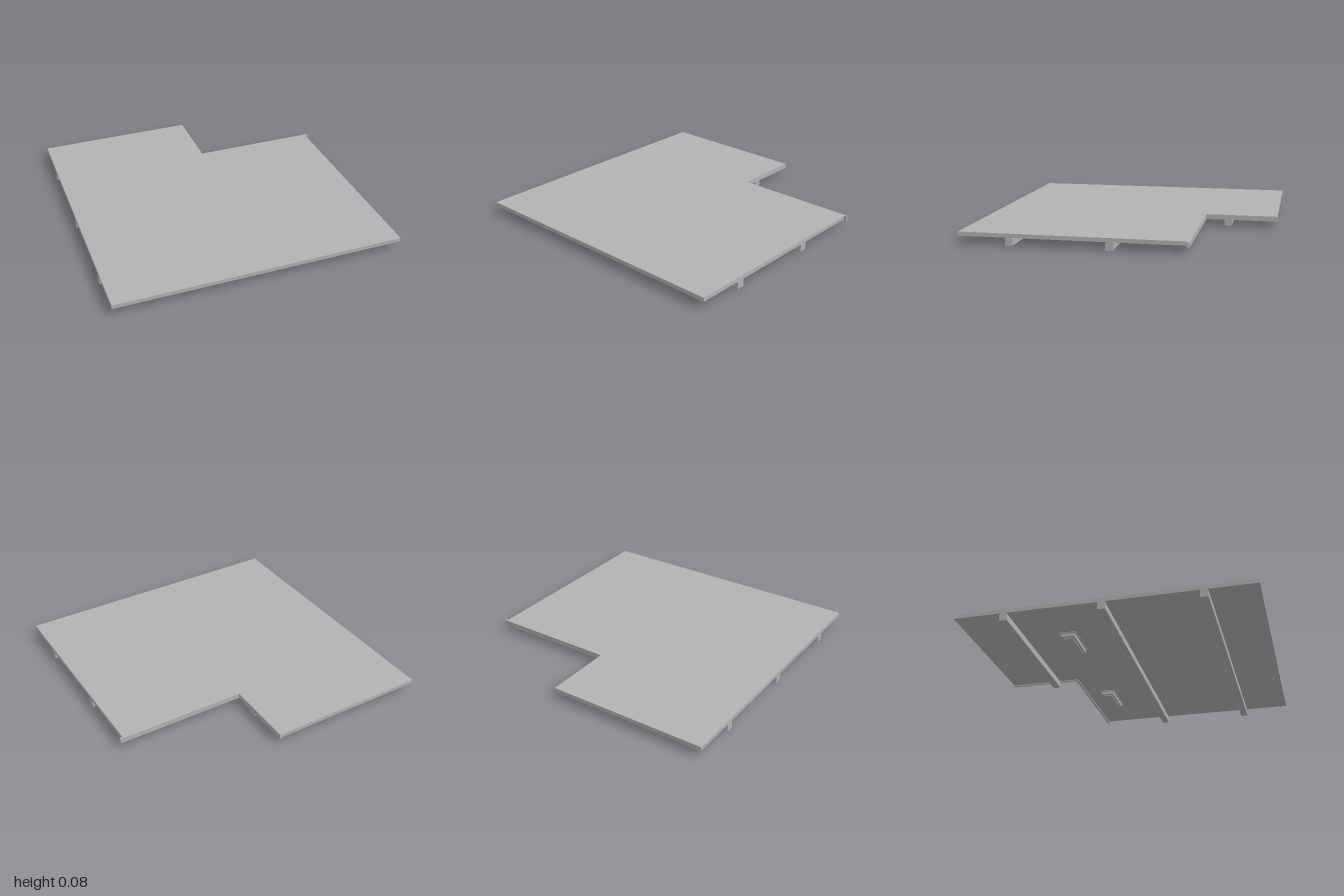
import * as THREE from 'three';

export function createModel() {
  const model = new THREE.Group();
  const grey = new THREE.MeshStandardMaterial({ color: 0xb2b2b2 });
  grey.name = 'light grey';

  function add(name, geometry) {
    const mesh = new THREE.Mesh(geometry, grey);
    mesh.name = name;
    model.add(mesh);
    return mesh;
  }

  // Box given by its extents along each axis
  function box(name, [x0, x1], [y0, y1], [z0, z1]) {
    add(name, new THREE.BoxGeometry(x1 - x0, y1 - y0, z1 - z0))
      .position.set((x0 + x1) / 2, (y0 + y1) / 2, (z0 + z1) / 2);
  }

  // L-shaped panel, drawn as (x, -z) and laid flat
  const outline = new THREE.Shape([
    [-1, -0.99], [0.98, -0.99], [0.98, 0.5], [0.11, 0.5], [0.11, 0.99], [-1, 0.99],
  ].map(([x, y]) => new THREE.Vector2(x, y)));
  const panel = new THREE.ExtrudeGeometry(outline, { depth: 0.027, bevelEnabled: false });
  panel.rotateX(-Math.PI / 2);
  add('panel', panel).position.y = 0.053;

  // Lips hanging along the two notch edges
  box('notchBackLip', [0.095, 1], [0.045, 0.08], [-0.5, -0.485]);
  box('notchSideLip', [0.095, 0.11], [0.045, 0.08], [-0.99, -0.5]);

  // Support beams with slightly chamfered corners
  const w = 0.026, h = 0.053, c = 0.005;
  const section = new THREE.Shape([
    [-w + c, 0], [w - c, 0], [w, c], [w, h - c], [w - c, h], [-w + c, h], [-w, h - c], [-w, c],
  ].map(([x, y]) => new THREE.Vector2(x, y)));
  for (const [name, z, end] of [
    ['frontBeam', 0.65, 0.98], ['middleBeam', 0, 0.98], ['backBeam', -0.65, 0.095],
  ]) {
    const beam = new THREE.ExtrudeGeometry(section, { depth: end + 1, bevelEnabled: false });
    beam.rotateY(Math.PI / 2);
    add(name, beam).position.set(-1, 0, z);
  }

  // Stepped housings under the panel
  for (const x of [-0.51, 0.49]) {
    for (const [name, halfX, halfZ, y0, y1] of [
      ['housingFlange', 0.145, 0.055, 0.049, 0.054],
      ['housingBody', 0.135, 0.046, 0.025, 0.049],
      ['housingBase', 0.115, 0.03, 0.019, 0.025],
    ]) {
      box(name, [x - halfX, x + halfX], [y0, y1], [-0.33 - halfZ, -0.33 + halfZ]);
    }
  }
  return model;
}
